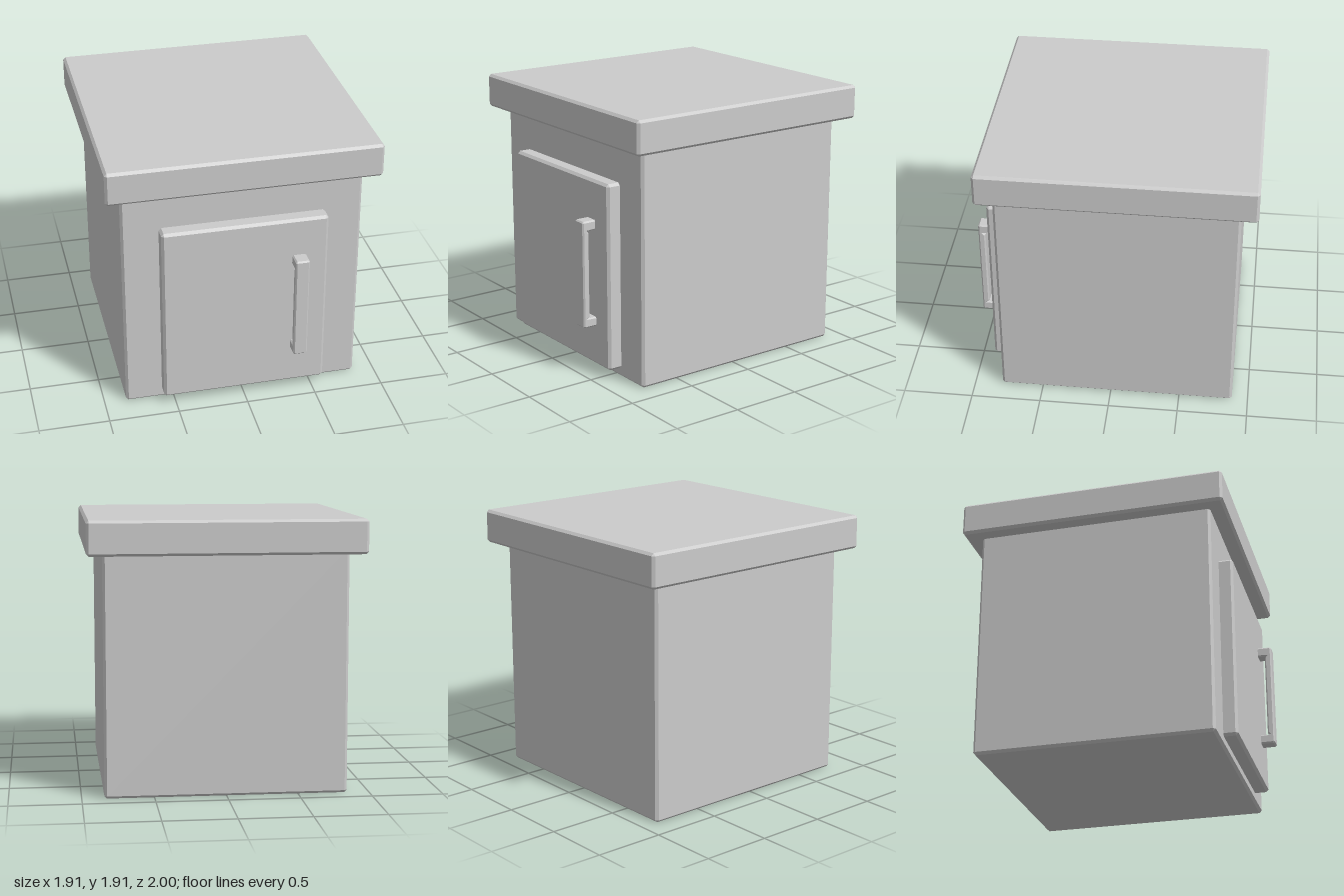
import * as THREE from 'three';
import { ConvexGeometry } from 'three/addons/geometries/ConvexGeometry.js';

const material = new THREE.MeshStandardMaterial({ color: 0xcccccc, flatShading: true });

// Box between two corners with every edge chamfered by c
function chamferedBox(name, min, max, c) {
  const points = [];
  for (let corner = 0; corner < 8; corner++) {
    const side = [corner & 1, (corner >> 1) & 1, (corner >> 2) & 1];
    for (let flush = 0; flush < 3; flush++) {
      const p = side.map((s, axis) => {
        const inset = axis === flush ? 0 : c;
        return s ? max[axis] - inset : min[axis] + inset;
      });
      points.push(new THREE.Vector3(...p));
    }
  }
  const mesh = new THREE.Mesh(new ConvexGeometry(points), material);
  mesh.name = name;
  return mesh;
}

// Bracket-shaped pull handle: side profile in (z, y), extruded across x
function createHandle() {
  const c = 0.01, back = 0.88, front = 1.0, inner = 0.95;
  const bottom = 0.355, top = 1.125, openBottom = 0.422, openTop = 1.055, k = 0.015;
  const profile = [
    [back, bottom], [front - c, bottom], [front, bottom + c],
    [front, top - c], [front - c, top], [back, top],
    [back, openTop], [inner - k + 0.015, openTop], [inner, openTop],
  ].slice(0, 7).concat([
    [inner + k, openTop], [inner, openTop - k],
    [inner, openBottom + k], [inner + k, openBottom],
    [back, openBottom],
  ].map(([z, y]) => [z > inner ? inner + k - 0 : z, y]));
  // Chamfer the inside corners of the opening
  profile[7][0] = inner + k;
  profile[10][0] = inner + k;
  const shape = new THREE.Shape(profile.map(([z, y]) => new THREE.Vector2(z, y)));
  const geometry = new THREE.ExtrudeGeometry(shape, {
    depth: 0.08, bevelEnabled: true, bevelSegments: 1,
    bevelThickness: 0.01, bevelSize: 0.01, bevelOffset: -0.01,
  });
  geometry.rotateY(-Math.PI / 2).translate(0.42, 0, 0);
  const mesh = new THREE.Mesh(geometry, material);
  mesh.name = 'handle';
  return mesh;
}

export function createModel() {
  const group = new THREE.Group();
  group.name = 'cabinet';
  group.add(
    chamferedBox('body', [-0.845, 0, -0.885], [0.845, 1.72, 0.8], 0.018),
    chamferedBox('countertop', [-0.955, 1.675, -1], [0.955, 1.915, 0.91], 0.018),
    chamferedBox('door', [-0.585, 0.065, 0.75], [0.585, 1.405, 0.9], 0.018),
    createHandle(),
  );
  return group;
}
